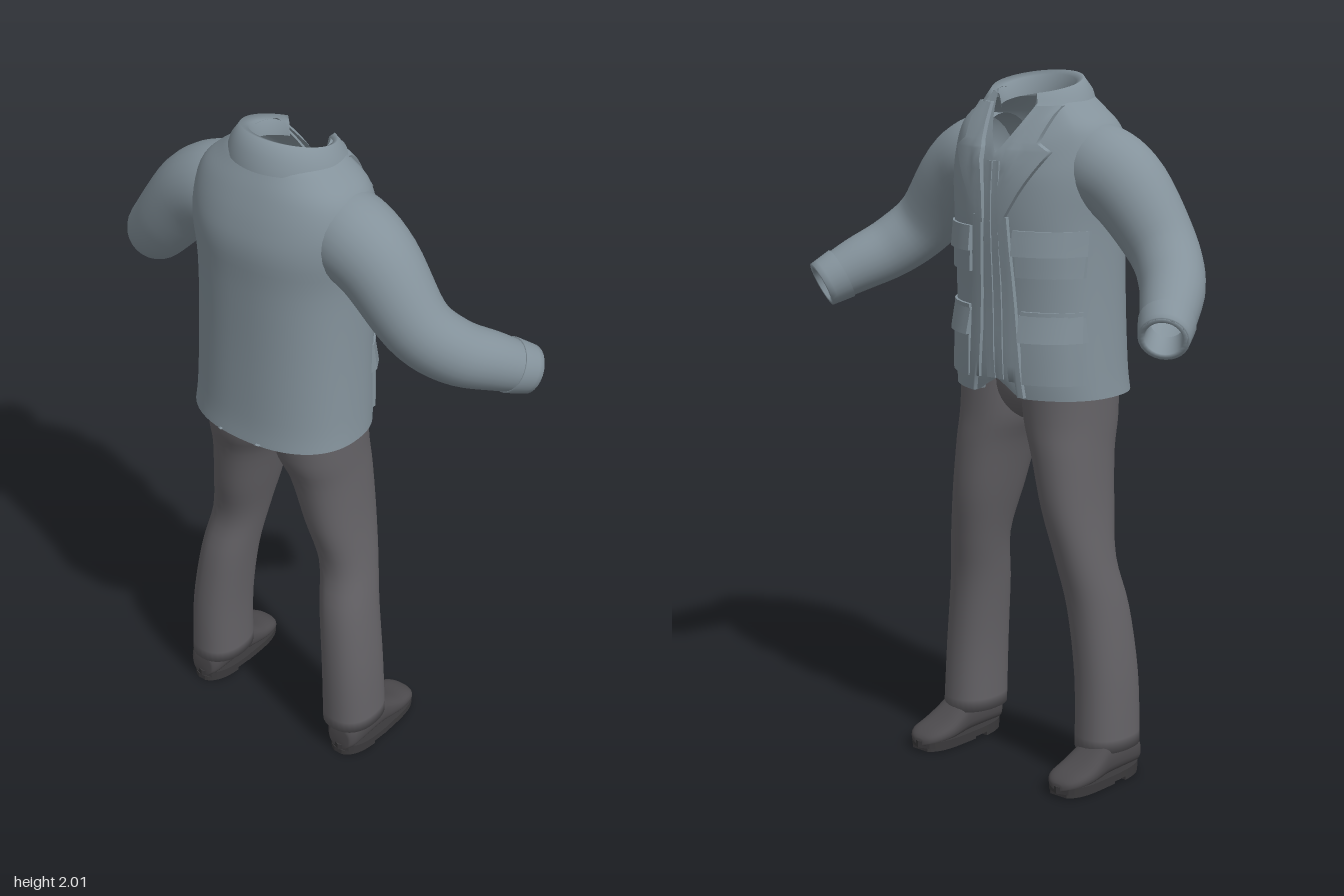
import * as THREE from 'three';

const V = (x, y, z) => new THREE.Vector3(x, y, z);
const mat = (name, color, side = THREE.FrontSide) => {
  const m = new THREE.MeshStandardMaterial({ color, side });
  m.name = name;
  return m;
};

// Catmull-Rom through rows of numbers, n steps per span
function spline(keys, n) {
  const out = [], L = keys.length - 1;
  for (let i = 0; i <= L * n; i++) {
    const s = Math.min(L - 1, Math.floor(i / n)), t = i / n - s;
    const [a, b, c, d] = [s - 1, s, s + 1, s + 2].map(k => keys[Math.max(0, Math.min(L, k))]);
    out.push(b.map((_, j) => 0.5 * (2 * b[j] + (c[j] - a[j]) * t + (2 * a[j] - 5 * b[j] + 4 * c[j] - d[j]) * t * t
      + (3 * b[j] - a[j] - 3 * c[j] + d[j]) * t * t * t)));
  }
  return out;
}

// Skin over a list of rings
function loft(rings, { closed = true, caps = false } = {}) {
  const n = rings[0].length, pts = rings.flat(), idx = [];
  for (let i = 0; i < rings.length - 1; i++)
    for (let j = 0; j < (closed ? n : n - 1); j++) {
      const k = (j + 1) % n, p = i * n + j, q = p + n, r = (i + 1) * n + k, s = i * n + k;
      idx.push(p, q, r, p, r, s);
    }
  if (caps) [0, rings.length - 1].forEach((i, e) => {
    const c = rings[i].reduce((a, p) => a.add(p), V(0, 0, 0)).divideScalar(n);
    const m = pts.push(c) - 1;
    for (let j = 0; j < n; j++) {
      const a = i * n + j, b = i * n + (j + 1) % n;
      e ? idx.push(m, b, a) : idx.push(m, a, b);
    }
  });
  const g = new THREE.BufferGeometry().setFromPoints(pts);
  g.setIndex(idx);
  g.computeVertexNormals();
  return g;
}

const pow = (c, n) => Math.sign(c) * Math.abs(c) ** (2 / n);

// Superellipse ring across direction t; rv is measured along v
function ring(c, t, v, ru, rv, n = 2, seg = 28) {
  t = t.clone().normalize();
  const u = t.clone().cross(v).normalize(), w = u.clone().cross(t);
  return Array.from({ length: seg }, (_, j) => {
    const a = j / seg * Math.PI * 2;
    return c.clone().addScaledVector(u, ru * pow(Math.cos(a), n)).addScaledVector(w, rv * pow(Math.sin(a), n));
  });
}

// Horizontal body ring; the front may be pulled to (xF, yF) within angle kw
function bodyRing([y, xb, xf, w, yF, xF, kw], angles, n = 2.3) {
  const cx = (xb + xf) / 2;
  return angles.map(a => {
    const ang = Math.abs(Math.atan2(Math.sin(a), Math.cos(a)));
    const k = Math.max(0, 1 - ang / kw), x = cx + (xf - cx) * pow(Math.cos(a), n);
    return V(x + (xF - xf) * k, y + (yF - y) * k, w * pow(Math.sin(a), n));
  });
}
const arc = (from, to, n) => Array.from({ length: n + 1 }, (_, i) => from + (to - from) * i / n);

export function createModel() {
  const model = new THREE.Group();
  const jacketCloth = mat('jacket cloth', 0x84929b, THREE.DoubleSide);
  const trouserCloth = mat('trouser cloth', 0x646266, THREE.DoubleSide);
  const shoeLeather = mat('shoe leather', 0x4c4a4d);
  const soleRubber = mat('sole rubber', 0x3a393b);
  const add = (name, g, m, parent = model) => {
    const mesh = new THREE.Mesh(g, m);
    mesh.name = name;
    parent.add(mesh);
    return mesh;
  };

  // Jacket body: hem to neckline, with the V opening at the front
  const body = spline([
    [1.12, -.258, .143, .262, 1.17, .143, .25],
    [1.2, -.25, .15, .257, 1.21, .15, .25],
    [1.4, -.245, .153, .25, 1.4, .153, .5],
    [1.6, -.246, .163, .25, 1.6, .163, .85],
    [1.72, -.25, .155, .262, 1.71, .16, .85],
    [1.8, -.235, .135, .262, 1.745, .158, .85],
    [1.87, -.21, .115, .24, 1.765, .156, .85],
    [1.92, -.185, .09, .185, 1.78, .154, .85],
    [1.95, -.165, .07, .145, 1.79, .152, .85],
    [1.965, -.13, .06, .112, 1.80, .148, .85],
  ], 4);
  const round = arc(0, Math.PI * 2, 64).slice(0, -1);
  const torso = add('jacketBody', loft(body.map(k => bodyRing(k, round))), jacketCloth);

  // Folded collar, open at the front
  const open = arc(0.62, Math.PI * 2 - 0.62, 40);
  const collar = [
    [1.93, -.19, .11, .165, 0], [1.955, -.178, .1, .155, .012], [1.985, -.15, .085, .135, .022],
    [1.975, -.128, .072, .115, .026], [1.93, -.122, .066, .105, .02],
  ].map(([y, xb, xf, w, tilt]) => bodyRing([y, xb, xf, w, y, xf, 1], open, 2).map(p =>
    p.setY(p.y - tilt * (p.x + .04) / .1)));
  add('collar', loft(collar, { closed: false }), jacketCloth);

  // Front surface of the jacket at (y, z), used to lay plates on it
  const ray = new THREE.Raycaster(), back = V(-1, 0, 0);
  torso.updateMatrixWorld();
  const frontX = (y, z) => {
    ray.set(V(1, y, z), back);
    const hit = ray.intersectObject(torso)[0];
    const edge = y > 1.74 ? .152 - .62 * Math.max(0, y - 1.79) - 1.5 * Math.max(0, Math.abs(z) - .07) : -1;
    return Math.max(hit ? hit.point.x : -.02, edge);
  };
  // Plate following the front; rows are [y, zInner, zOuter, thickness]
  function plate(name, rows, side) {
    const g = new THREE.BoxGeometry(1, 1, 1, 6, 4 * (rows.length - 1), 1), p = g.attributes.position;
    for (let i = 0; i < p.count; i++) {
      const f = (p.getY(i) + .5) * (rows.length - 1), r = Math.min(rows.length - 2, Math.floor(f + 1e-6));
      const [y, a, b, d] = rows[r].map((q, j) => q + (rows[r + 1][j] - q) * (f - r));
      const u = (p.getX(i) + .5), z = side * (side > 0 ? b + (a - b) * u : a + (b - a) * u);
      p.setXYZ(i, frontX(y, z) + (p.getZ(i) > 0 ? d : -.008), y, z);
    }
    g.computeVertexNormals();
    add(name, g, jacketCloth);
  }

  const shoeHalf = x => (x < 0 ? .061 + .007 * (x + .14) / .14 : .068)
    * Math.sqrt(Math.max(0, 1 - Math.abs((x - .03) / .17) ** 4));
  const soleSlab = (x0, x1, y0, y1, grow) => {
    const xs = arc(x0, x1, 28);
    const edge = [...xs.map(x => new THREE.Vector2(x, -shoeHalf(x) * grow)),
      ...xs.slice().reverse().map(x => new THREE.Vector2(x, shoeHalf(x) * grow))];
    return new THREE.ExtrudeGeometry(new THREE.Shape(edge), { depth: y1 - y0, bevelEnabled: false })
      .rotateX(-Math.PI / 2).translate(0, y0, 0);
  };

  for (const s of [1, -1]) {
    // Lapel, front edge, inner placket and pockets
    plate('lapel', [[1.61, .025, .04, .012], [1.7, .03, .095, .014], [1.81, .045, .168, .016],
      [1.835, .055, .13, .016], [1.93, .082, .15, .014]], s);
    plate('frontEdge', [[1.125, .06, .1, .012], [1.3, .045, .085, .012], [1.63, .03, .06, .012]], s);
    plate('innerPlacket', [[1.17, .002, .03, .005], [1.45, .002, .028, .005], [1.78, .002, .022, .005]], s);
    plate('chestPocket', [[1.465, .085, .235, .012], [1.58, .08, .24, .008]], s);
    plate('chestPocketFlap', [[1.525, .078, .242, .022], [1.595, .078, .242, .01]], s);
    plate('hipPocket', [[1.165, .1, .24, .014], [1.37, .095, .235, .01]], s);
    plate('hipPocketFlap', [[1.285, .095, .24, .026], [1.36, .09, .235, .01]], s);

    // Sleeve curving forward, turned in at the cuff
    const path = spline([
      [-.05, 1.78, .12, .11], [-.05, 1.755, .22, .124], [-.052, 1.70, .315, .116], [-.045, 1.56, .435, .097],
      [.015, 1.48, .515, .09], [.11, 1.425, .58, .08], [.205, 1.372, .635, .064],
    ], 5).map(([x, y, z, r]) => ({ c: V(x, y, z * s), r }));
    const rings = path.map(({ c, r }, i) => {
      const t = path[Math.min(i + 1, path.length - 1)].c.clone().sub(path[Math.max(i - 1, 0)].c);
      return ring(c, t, V(1, 0, 0), r, r);
    });
    const shrink = (i, k) => rings[i].map(p => p.clone().sub(path[i].c).multiplyScalar(k).add(path[i].c));
    const end = rings.length - 1;
    add('sleeve', loft([...rings, shrink(end, .8), shrink(end - 3, .6)]), jacketCloth);
    add('cuff', loft([shrink(end - 3, 1), shrink(end - 3, 1.06), shrink(end - 1, 1.07), shrink(end, 1.07),
      shrink(end, .95)]), jacketCloth);

    // Trouser leg: [x, y, z, half depth, half width]
    const leg = spline([
      [-.043, .095, .258, .103, .082], [-.046, .3, .25, .1, .08], [-.035, .5, .227, .096, .078],
      [-.008, .65, .201, .094, .077], [-.01, .8, .17, .12, .085], [-.02, .95, .143, .134, .099],
      [-.037, 1.05, .121, .147, .117], [-.042, 1.2, .11, .15, .126],
    ], 4);
    add('trouserLeg', loft(leg.map(([x, y, z, d, w]) =>
      ring(V(x, y, z * s), V(0, 1, 0), V(0, 0, 1), d, w, 2.25, 32)), { caps: true }), trouserCloth);

    // Shoe: rounded upper on a welt with heel and tread
    const shoe = new THREE.Group();
    shoe.name = 'shoe';
    shoe.position.z = .27 * s;
    model.add(shoe);
    const upper = spline([
      [-.135, .09, .035], [-.115, .115, .052], [-.05, .13, .056], [.02, .13, .058], [.06, .106, .062],
      [.11, .08, .065], [.16, .066, .058], [.187, .052, .038], [.196, .04, .015],
    ], 3);
    add('shoeUpper', loft(upper.map(([x, top, w]) =>
      ring(V(x, (top + .02) / 2, 0), V(1, 0, 0), V(0, 0, -1), (top - .02) / 2, w, 2.5)), { caps: true }), shoeLeather, shoe);
    add('welt', soleSlab(-.14, .2, .014, .034, 1.03), soleRubber, shoe);
    add('heel', soleSlab(-.138, -.035, 0, .016, .98), soleRubber, shoe);
    add('tread', soleSlab(.015, .19, .004, .016, .95), soleRubber, shoe);
  }

  // Trouser seat joining the legs
  add('trouserSeat', new THREE.SphereGeometry(1, 32, 20).scale(.145, .135, .12).translate(-.04, 1.155, 0), trouserCloth);
  return model;
}
